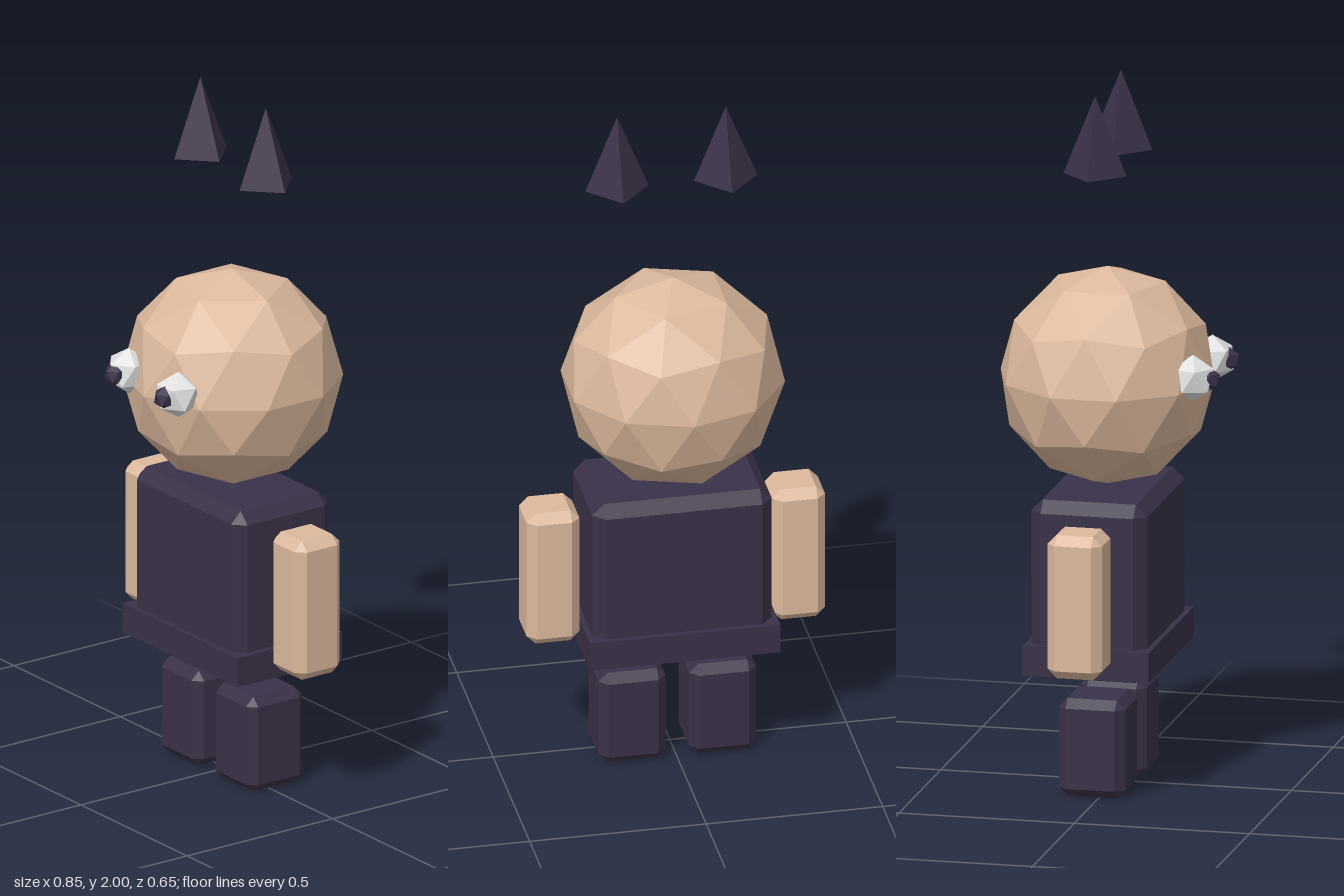
import * as THREE from 'three';
import { ConvexGeometry } from 'three/addons/geometries/ConvexGeometry.js';

const material = (name, color) => {
  const m = new THREE.MeshStandardMaterial({ color });
  m.name = name;
  return m;
};

// Box with flat chamfers on every edge and corner
function chamferBox(w, h, d, c) {
  const points = [];
  for (const x of [-1, 1]) for (const y of [-1, 1]) for (const z of [-1, 1]) {
    for (let axis = 0; axis < 3; axis++) {
      const inset = [c, c, c];
      inset[axis] = 0;
      points.push(new THREE.Vector3(
        x * (w / 2 - inset[0]), y * (h / 2 - inset[1]), z * (d / 2 - inset[2])));
    }
  }
  return new ConvexGeometry(points);
}

// Faceted ball with a vertex at the top and bottom poles
function facetBall(radius, detail) {
  const g = new THREE.IcosahedronGeometry(radius, detail);
  g.rotateZ(-Math.atan(2 / (1 + Math.sqrt(5))));
  g.computeVertexNormals();
  return g;
}

export function createModel() {
  const model = new THREE.Group();
  model.name = 'blockFigure';
  const skin = material('skin', 0xdcb99d);
  const dark = material('darkCloth', 0x3a3148);
  const white = material('eyeWhite', 0xe0e0e0);
  const cz = -0.022;

  const add = (name, geometry, mat, x, y, z) => {
    const mesh = new THREE.Mesh(geometry, mat);
    mesh.name = name;
    mesh.position.set(x, y, z);
    model.add(mesh);
    return mesh;
  };

  // Torso and hem
  add('torso', chamferBox(0.508, 0.51, 0.33, 0.033), dark, -0.003, 0.6, cz);
  add('hem', new THREE.BoxGeometry(0.54, 0.086, 0.36), dark, -0.002, 0.402, cz);

  // Head
  const head = add('head', facetBall(1, 1), skin, -0.004, 1.166, -0.023);
  head.scale.set(0.314, 0.311, 0.305);

  for (const [side, s] of [['left', 1], ['right', -1]]) {
    // Limbs
    add(side + 'Arm', chamferBox(0.15, 0.41, 0.155, 0.026), skin, s * 0.348 - 0.002, 0.596, cz);
    add(side + 'Leg', chamferBox(0.19, 0.28, 0.19, 0.025), dark, s * 0.128 - 0.003, 0.145, cz + 0.002);

    // Eye and pupil
    const eye = add(side + 'Eye', facetBall(0.067, 0), white, s * 0.117 - 0.003, 1.2, 0.248);
    eye.rotation.y = s * Math.PI / 2;
    const pupil = add(side + 'Pupil', facetBall(0.034, 0), dark, s * 0.116 - 0.002, 1.2, 0.294);
    pupil.rotation.y = -Math.PI / 2;

    // Floating four-sided ear
    const cone = new THREE.ConeGeometry(0.09, 0.225, 4).toNonIndexed();
    cone.computeVertexNormals();
    add(side + 'Ear', cone, dark, s * 0.154, 1.8875, -0.023);
  }

  return model;
}
